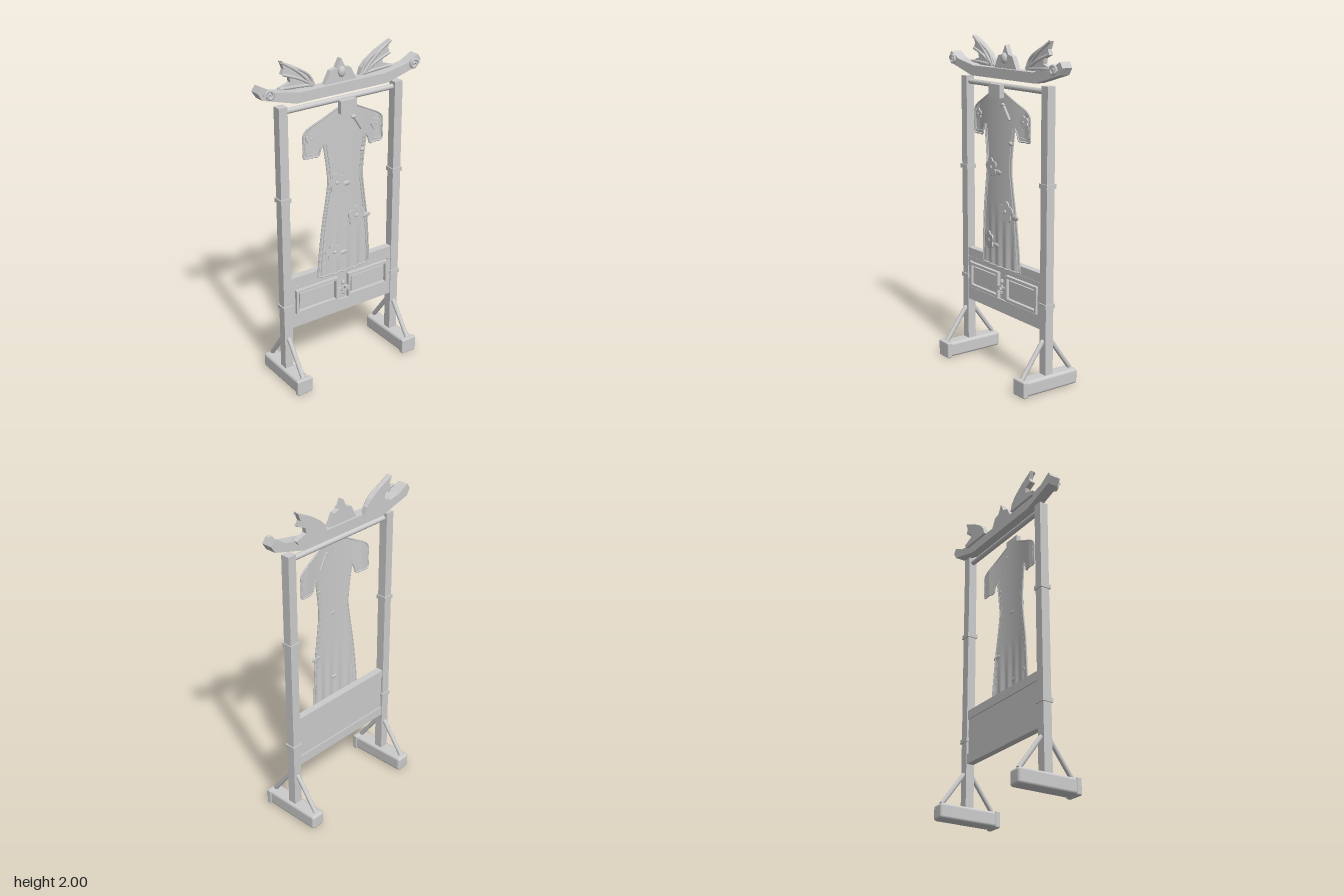
import * as THREE from 'three';
import { RoundedBoxGeometry } from 'three/addons/geometries/RoundedBoxGeometry.js';

const paleGrey = new THREE.MeshStandardMaterial({ color: 0xcccccc, side: THREE.DoubleSide });
paleGrey.name = 'paleGrey';

export function createModel() {
  const root = new THREE.Group();
  root.name = 'garmentStand';

  const add = (name, geometry, x = 0, y = 0, z = 0) => {
    const mesh = new THREE.Mesh(geometry, paleGrey);
    mesh.name = name;
    mesh.position.set(x, y, z);
    root.add(mesh);
    return mesh;
  };
  const box = (name, w, h, d, x, y, z) => add(name, new THREE.BoxGeometry(w, h, d), x, y, z);
  const rounded = (name, w, h, d, r, x, y, z) => add(name, new RoundedBoxGeometry(w, h, d, 3, r), x, y, z);
  const V = (x, y, z) => new THREE.Vector3(x, y, z);
  const shapeOf = (points) => new THREE.Shape(points.map(([x, y]) => new THREE.Vector2(x, y)));
  const plate = (name, points, z0, z1) =>
    add(name, new THREE.ExtrudeGeometry(shapeOf(points), { depth: z1 - z0, bevelEnabled: false }), 0, 0, z0);
  const rod = (name, a, b, r, sides = 12) => {
    const mesh = add(name, new THREE.CylinderGeometry(r, r, a.distanceTo(b), sides));
    mesh.position.copy(a).lerp(b, 0.5);
    mesh.quaternion.setFromUnitVectors(V(0, 1, 0), b.clone().sub(a).normalize());
    return mesh;
  };
  const tube = (name, points, r, segments = 48) =>
    add(name, new THREE.TubeGeometry(new THREE.CatmullRomCurve3(points, false, 'centripetal'), segments, r, 6));
  const ellipsoid = (name, rx, ry, rz, x, y, z) =>
    add(name, new THREE.SphereGeometry(1, 20, 14), x, y, z).scale.set(rx, ry, rz);

  // Feet, posts, braces and bands
  for (const s of [-1, 1]) {
    const x = s * 0.395;
    rounded('foot', 0.094, 0.094, 0.39, 0.018, x, 0.05, -0.005);
    rounded('footCap', 0.106, 0.1, 0.032, 0.008, x, 0.05, 0.183);
    box('post', 0.056, 1.67, 0.054, x, 0.925, 0);
    for (const y of [0.51, 1.205]) box('postBand', 0.07, 0.026, 0.068, x, y, 0);
    for (const f of [-1, 1]) {
      rod('brace', V(x, 0.1, f * 0.172), V(x, 0.295, f * 0.03), 0.014);
      ellipsoid('braceTip', 0.014, 0.014, 0.014, x, 0.295, f * 0.03);
    }
  }
  rod('hangingRail', V(-0.375, 1.727, 0), V(0.375, 1.727, 0), 0.016, 20);

  // Lower panel with two framed doors
  box('panelTopRail', 0.74, 0.055, 0.044, 0, 0.667, 0);
  box('panelBottomRail', 0.74, 0.06, 0.044, 0, 0.39, 0);
  box('panelBoard', 0.74, 0.23, 0.026, 0, 0.53, -0.001);
  const frame = (name, w, h, border, x, y, z, depth) => {
    const rect = (a, b) => [[-a, -b], [a, -b], [a, b], [-a, b]];
    const shape = shapeOf(rect(w / 2, h / 2));
    shape.holes.push(shapeOf(rect(w / 2 - border, h / 2 - border)));
    add(name, new THREE.ExtrudeGeometry(shape, { depth, bevelEnabled: false }), x, y, z);
  };
  frame('panelFrame', 0.73, 0.22, 0.022, 0, 0.53, 0.01, 0.014);
  for (const s of [-1, 1]) {
    frame('doorFrame', 0.3, 0.158, 0.016, s * 0.188, 0.528, 0.01, 0.024);
    box('doorPanel', 0.245, 0.104, 0.016, s * 0.188, 0.528, 0.017);
    box('claspPlate', 0.026, 0.024, 0.02, s * 0.03, 0.515, 0.026);
  }
  add('claspRing', new THREE.TorusGeometry(0.016, 0.005, 8, 20), 0, 0.522, 0.035);
  ellipsoid('claspKnob', 0.012, 0.017, 0.009, 0, 0.56, 0.03);
  ellipsoid('claspDrop', 0.008, 0.014, 0.007, 0, 0.492, 0.034);

  // Upswept top beam
  const beamHalf = [[0.31, 1.768], [0.525, 1.828], [0.55, 1.868], [0.528, 1.9], [0.45, 1.858], [0.29, 1.828]];
  const mirrored = (half) => [...half, ...half.map(([x, y]) => [-x, y]).reverse()];
  plate('topBeam', mirrored(beamHalf), -0.038, 0.03);

  // Winged crest and scroll ends
  plate('centreCrest', mirrored([[0.108, 1.826], [0.068, 1.9], [0.028, 1.91], [0.002, 1.962]]), -0.025, 0.006);
  ellipsoid('crestGem', 0.024, 0.031, 0.016, 0, 1.888, 0.014);
  const wing = [[0.15, 1.825], [0.165, 1.87], [0.2, 1.907], [0.275, 1.955], [0.37, 2], [0.352, 1.955],
    [0.365, 1.925], [0.318, 1.905], [0.312, 1.872], [0.385, 1.848], [0.37, 1.825]];
  const ribs = [[0.368, 1.996], [0.362, 1.926], [0.382, 1.848]];
  for (const s of [-1, 1]) {
    plate('wing', wing.map(([x, y]) => [s * x, y]), -0.054, -0.026);
    for (const [x, y] of ribs) {
      const bend = V(s * (0.17 + (x - 0.17) * 0.5), 1.84 + (y - 1.84) * 0.58, -0.022);
      tube('wingRib', [V(s * 0.17, 1.835, -0.022), bend, V(s * x, y, -0.026)], 0.009, 16);
    }
    tube('wingEdge', [V(s * 0.16, 1.835, -0.024), V(s * 0.2, 1.9, -0.024), V(s * 0.37, 1.995, -0.028)], 0.008, 16);
    const scroll = [];
    for (let i = 0; i <= 22; i++) {
      const a = i * 0.42, r = 0.03 - i * 0.0011;
      scroll.push(V(s * (0.488 + Math.cos(a) * r), 1.852 + Math.sin(a) * r, 0.046));
    }
    tube('scroll', scroll, 0.009, 70);
    rod('scrollPin', V(s * 0.488, 1.852, 0.025), V(s * 0.488, 1.852, 0.05), 0.008);
  }

  // Dress cloth: bowed forward, with folds deepening towards the hem
  const clothZ = (x, y) => {
    const fold = THREE.MathUtils.clamp((1.05 - y) / 0.4, 0, 1);
    return 0.03 + 0.024 * Math.max(0, 1 - (x / 0.22) ** 2) + 0.005 * fold * Math.cos(x * 85);
  };
  const sheet = (name, nu, nv, at) => {
    const geometry = new THREE.PlaneGeometry(1, 1, nu, nv);
    const p = geometry.attributes.position;
    for (let i = 0; i < p.count; i++) {
      const [x, y] = at(p.getX(i) + 0.5, p.getY(i) + 0.5);
      p.setXYZ(i, x, y, clothZ(x, y));
    }
    geometry.computeVertexNormals();
    return add(name, geometry);
  };
  const lookup = (rows, t, k) => {
    let i = 0;
    while (i < rows.length - 2 && t > rows[i + 1][0]) i++;
    const [a, b] = [rows[i], rows[i + 1]];
    return THREE.MathUtils.lerp(a[k], b[k], THREE.MathUtils.clamp((t - a[0]) / (b[0] - a[0]), 0, 1));
  };
  // rows of height and half width
  const body = [[0.655, 0.186], [0.8, 0.177], [1, 0.157], [1.15, 0.134], [1.26, 0.121], [1.36, 0.128],
    [1.5, 0.148], [1.652, 0.15], [1.705, 0.045]];
  sheet('dressBody', 40, 70, (u, v) => {
    const y = 0.655 + 1.05 * v;
    return [(u * 2 - 1) * lookup(body, y, 1), y];
  });
  // columns of x, bottom and top
  const sleeve = [[0.14, 1.5, 1.655], [0.165, 1.475, 1.643], [0.182, 1.432, 1.634], [0.25, 1.432, 1.6], [0.272, 1.436, 1.574]];
  for (const s of [-1, 1]) {
    sheet('sleeve', 24, 8, (u, v) => {
      const x = 0.14 + 0.132 * (s > 0 ? u : 1 - u);
      return [s * x, THREE.MathUtils.lerp(lookup(sleeve, x, 1), lookup(sleeve, x, 2), v)];
    });
    // Piping around the edges
    const piping = (name, points, r) => tube(name, points.map(([x, y]) => V(s * x, y, clothZ(x, y) + 0.002)), r);
    piping('sidePiping', body.slice(0, 7).map(([y, w]) => [w, y]), 0.005);
    piping('sideTrim', body.slice(0, 7).map(([y, w]) => [w - 0.018, y]), 0.003);
    piping('sleevePiping', [[0.148, 1.5], [0.165, 1.475], [0.18, 1.434], [0.22, 1.433], [0.27, 1.435], [0.273, 1.5],
      [0.272, 1.574], [0.25, 1.6], [0.15, 1.652], [0.055, 1.7]], 0.005);
    piping('cuffTrim', [[0.185, 1.455], [0.255, 1.455], [0.256, 1.575]], 0.003);
  }
  tube('hemPiping', Array.from({ length: 31 }, (_, i) => {
    const x = (i / 15 - 1) * 0.186;
    return V(x, 0.657, clothZ(x, 0.657));
  }), 0.005, 90);

  // Collar, placket and knots
  box('collar', 0.11, 0.076, 0.03, 0, 1.705, 0.069);
  rod('placket', V(0.055, 1.625, clothZ(0.055, 1.6) + 0.004), V(0.108, 1.545, clothZ(0.108, 1.55) + 0.004), 0.009, 8);
  for (const [x, y] of [[0.05, 1.628], [0.118, 1.412]]) {
    ellipsoid('knotButton', 0.017, 0.012, 0.009, x, y, clothZ(x, y) + 0.006);
  }

  // Five-petal blossoms with a trailing leaf, laid on the cloth
  const blossom = (x0, y0, r, turn, leaf) => {
    const outline = Array.from({ length: 50 }, (_, i) => {
      const a = (i / 50) * Math.PI * 2;
      const q = r * (0.72 + 0.28 * Math.abs(Math.sin(2.5 * a + turn)));
      return [Math.cos(a) * q, Math.sin(a) * q];
    });
    const z = clothZ(x0, y0) + 0.003;
    const tilt = Math.atan((clothZ(x0 - 0.02, y0) - clothZ(x0 + 0.02, y0)) / 0.04);
    const flower = plate('blossom', outline, 0, 0.008);
    flower.position.set(x0, y0, z);
    flower.rotation.y = tilt;
    ellipsoid('blossomHeart', r * 0.2, r * 0.2, 0.006, x0, y0, z + 0.008);
    if (leaf) {
      ellipsoid('blossomLeaf', r * 0.55, r * 0.25, 0.006, x0 + r * 1.15, y0 - r * 0.35, clothZ(x0 + r * 1.15, y0) + 0.004);
    }
  };
  blossom(-0.065, 1.25, 0.058, 0.4, true);
  blossom(0.075, 1.005, 0.066, 1, true);
  blossom(-0.085, 0.805, 0.056, 0.2, true);
  blossom(-0.225, 1.548, 0.034, 0.7, false);
  blossom(0.222, 1.545, 0.036, 0.1, false);

  return root;
}
